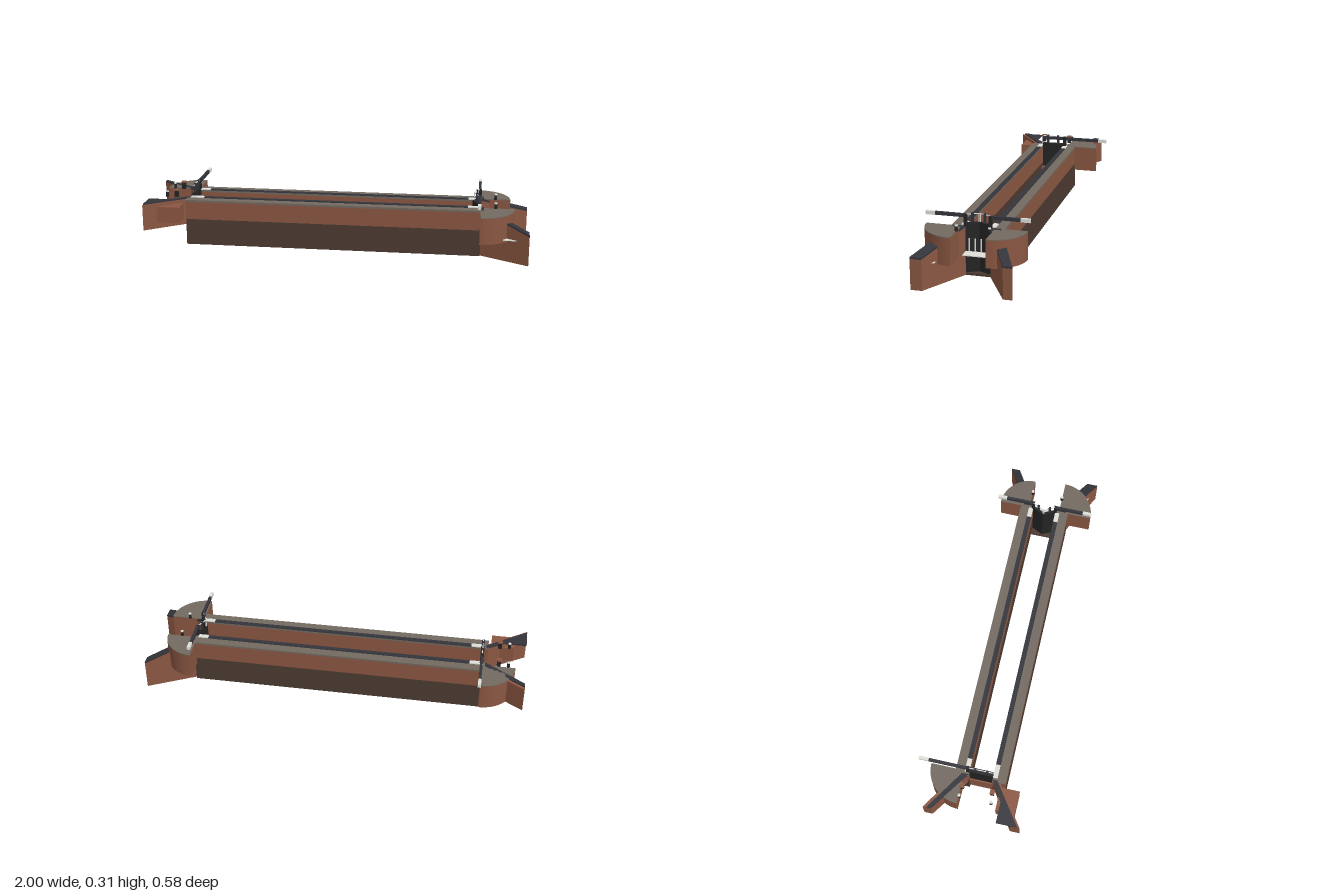
import * as THREE from 'three';

const mat = (name, color, extra = {}) =>
  Object.assign(new THREE.MeshStandardMaterial({ color, ...extra }), { name });

export function createModel() {
  const brick = mat('brick', 0x8b5742);
  const footing = mat('dark footing', 0x4c3b31);
  const stone = mat('grey paving', 0x736a61);
  const coping = mat('dark coping', 0x34343c);
  const black = mat('black timber', 0x242424);
  const white = mat('pale paint', 0xe0e0da);

  const lock = new THREE.Group();
  lock.name = 'canalLock';

  const add = (name, geo, material) => {
    const m = new THREE.Mesh(geo, material);
    m.name = name;
    lock.add(m);
    return m;
  };

  // Box given by its limits on each axis
  const box = (name, material, [x0, x1], [y0, y1], [z0, z1]) => {
    const g = new THREE.BoxGeometry(x1 - x0, y1 - y0, z1 - z0);
    g.translate((x0 + x1) / 2, (y0 + y1) / 2, (z0 + z1) / 2);
    return add(name, g, material);
  };

  // Upright prism from a plan outline of [x, z] points; floor and roof may slope along x
  const prism = (name, material, plan, bottom, top) => {
    const shape = new THREE.Shape(plan.map(([x, z]) => new THREE.Vector2(x, -z)));
    const g = new THREE.ExtrudeGeometry(shape, { depth: 1, bevelEnabled: false });
    g.rotateX(-Math.PI / 2);
    const p = g.attributes.position;
    const at = (f, x) => (typeof f === 'function' ? f(x) : f);
    for (let i = 0; i < p.count; i++) {
      p.setY(i, at(p.getY(i) > 0.5 ? top : bottom, p.getX(i)));
    }
    g.computeVertexNormals();
    return add(name, g, material);
  };

  // Quarter disc plan outline opening towards (sx, sz)
  const quarter = (cx, cz, r, sx, sz) => {
    const pts = [[cx, cz]];
    for (let i = 0; i <= 24; i++) {
      const a = (i / 24) * Math.PI / 2;
      pts.push([cx + sx * r * Math.cos(a), cz + sz * r * Math.sin(a)]);
    }
    return pts;
  };

  // Chamber walls: s is the outward direction, zi the inner face
  for (const [s, zi] of [[1, 0.093], [-1, -0.03]]) {
    const span = (a, b) => [zi + s * a, zi + s * b].sort((p, q) => p - q);
    const long = [-0.8, 0.755];
    box('wallFooting', footing, long, [0, 0.14], span(0, 0.068));
    box('wallBrickwork', brick, long, [0.14, 0.236], span(0, 0.068));
    box('wallPaving', stone, long, [0.236, 0.246], span(0, 0.07));
    box('chamberCoping', coping, [-0.71, 0.685], [0.246, 0.25], span(0, 0.024));
    box('lowerQuoin', white, [0.685, 0.74], [0.246, 0.251], span(0, 0.024));
    box('upperQuoin', white, [-0.78, -0.71], [0.246, 0.251], span(0, 0.024));

    // Mooring bollards and small winding posts
    for (const x of [-0.91, 0.828]) {
      const z = zi + s * 0.02;
      const post = new THREE.CylinderGeometry(0.007, 0.008, 0.026, 12);
      add('bollard', post.translate(x, 0.259, z), black);
      const cap = new THREE.CylinderGeometry(0.008, 0.008, 0.005, 12);
      add('bollardCap', cap.translate(x, 0.2745, z), white);
    }
    box('windingPost', black, [-0.87, -0.85], [0.246, 0.28], span(0.006, 0.026));
    box('windingPostCap', brick, [-0.873, -0.847], [0.28, 0.287], span(0.004, 0.028));
  }

  // Lower wing walls, splayed outwards with a falling top
  const fall = (x) => 0.16 + 0.36 * (1 - x);
  for (const plan of [
    [[0.755, 0.093], [1, 0.228], [1, 0.285], [0.755, 0.15]],
    [[0.755, -0.03], [1, -0.162], [1, -0.207], [0.755, -0.085]],
  ]) {
    prism('lowerWingWall', brick, plan, 0, (x) => fall(x) - 0.006);
    prism('lowerWingCoping', coping, plan, (x) => fall(x) - 0.006, (x) => fall(x) + 0.003);
  }

  // Upper wing walls
  for (const [wall, cope] of [
    [[[-0.79, 0.093], [-1, 0.23], [-1, 0.28], [-0.79, 0.13]],
      [[-0.79, 0.093], [-1, 0.23], [-1, 0.268], [-0.79, 0.118]]],
    [[[-0.79, -0.03], [-1, -0.175], [-1, -0.218], [-0.79, -0.085]],
      [[-0.79, -0.03], [-1, -0.175], [-1, -0.2], [-0.79, -0.065]]],
  ]) {
    prism('upperWingWall', brick, wall, 0.105, 0.241);
    prism('upperWingCoping', coping, cope, 0.241, 0.247);
  }
  prism('upperWingPaving', coping, [[-1, 0.158], [-0.87, 0.158], [-1, 0.25]], 0.236, 0.245);
  box('weirBlock', brick, [-0.935, -0.815], [0.14, 0.225], [0.14, 0.24]);

  // Quarter-round platforms swept by the balance beams
  for (const [cx, cz, r, sx, sz] of [
    [0.75, 0.113, 0.175, 1, 1],
    [0.745, -0.053, 0.16, 1, -1],
    [-0.775, -0.055, 0.173, -1, -1],
  ]) {
    prism('beamPlatform', brick, quarter(cx, cz, r, sx, sz), 0.105, 0.242);
    prism('beamPlatformPaving', stone, quarter(cx, cz, r, sx, sz), 0.242, 0.247);
  }

  // Outlet ledge beside the lower wing
  box('outletLedge', white, [0.87, 0.945], [0.119, 0.123], [0.185, 0.25]);

  // Lower mitre gates meeting in a V that points upstream
  const mid = 0.032;
  for (const [zEnd, s] of [[0.093, 1], [-0.03, -1]]) {
    prism('lowerGateLeaf', black,
      [[0.738, zEnd], [0.708, mid], [0.722, mid], [0.752, zEnd]], 0.012, 0.262);
    prism('lowerGateRail', white,
      [[0.742, zEnd], [0.712, mid], [0.716, mid], [0.746, zEnd]], 0.302, 0.306);
    box('heelPost', black, [0.738, 0.754], [0.246, 0.306], [zEnd - 0.007, zEnd + 0.007]);
    box('paddleGear', coping, [0.725, 0.737], [0.26, 0.311],
      [mid + s * 0.031 - 0.006, mid + s * 0.031 + 0.006]);
    box('railPost', white, [0.714, 0.718], [0.26, 0.304], [mid + s * 0.003 - 0.002, mid + s * 0.003 + 0.002]);
  }
  box('lowerSill', footing, [0.7, 0.755], [0, 0.012], [-0.03, 0.093]);

  // Upper gate on its raised sill
  box('upperSill', brick, [-0.787, -0.735], [0, 0.12], [-0.03, 0.093]);
  box('upperGate', black, [-0.78, -0.762], [0.12, 0.262], [-0.03, 0.093]);
  box('upperGateRail', white, [-0.773, -0.769], [0.302, 0.306], [-0.03, 0.093]);
  for (const z of [0.001, 0.063]) {
    box('upperPaddleGear', coping, [-0.777, -0.765], [0.26, 0.31], [z - 0.006, z + 0.006]);
  }
  box('upperHeelPost', black, [-0.78, -0.762], [0.246, 0.304], [-0.046, -0.03]);

  // Balance beams with pale tips
  const beam = (x, y, zStart, zJoin, zTip) => {
    const sort = (a, b) => [Math.min(a, b), Math.max(a, b)];
    box('balanceBeam', coping, [x - 0.007, x + 0.007], [y - 0.008, y + 0.008], sort(zStart, zJoin));
    box('balanceBeamTip', white, [x - 0.008, x + 0.008], [y - 0.009, y + 0.009], sort(zJoin, zTip));
  };
  beam(0.745, 0.299, 0.09, 0.244, 0.29);
  beam(0.745, 0.299, -0.03, -0.178, -0.226);
  beam(-0.771, 0.293, 0.093, -0.24, -0.29);

  // Water spilling through the lower gates
  box('foamSheet', white, [0.75, 0.81], [0.118, 0.122], [-0.028, 0.092]);
  for (const z of [0.073, 0.044, 0.014, -0.014]) {
    box('waterJet', white, [0.753, 0.758], [0.12, 0.19], [z - 0.003, z + 0.003]);
  }

  return lock;
}
